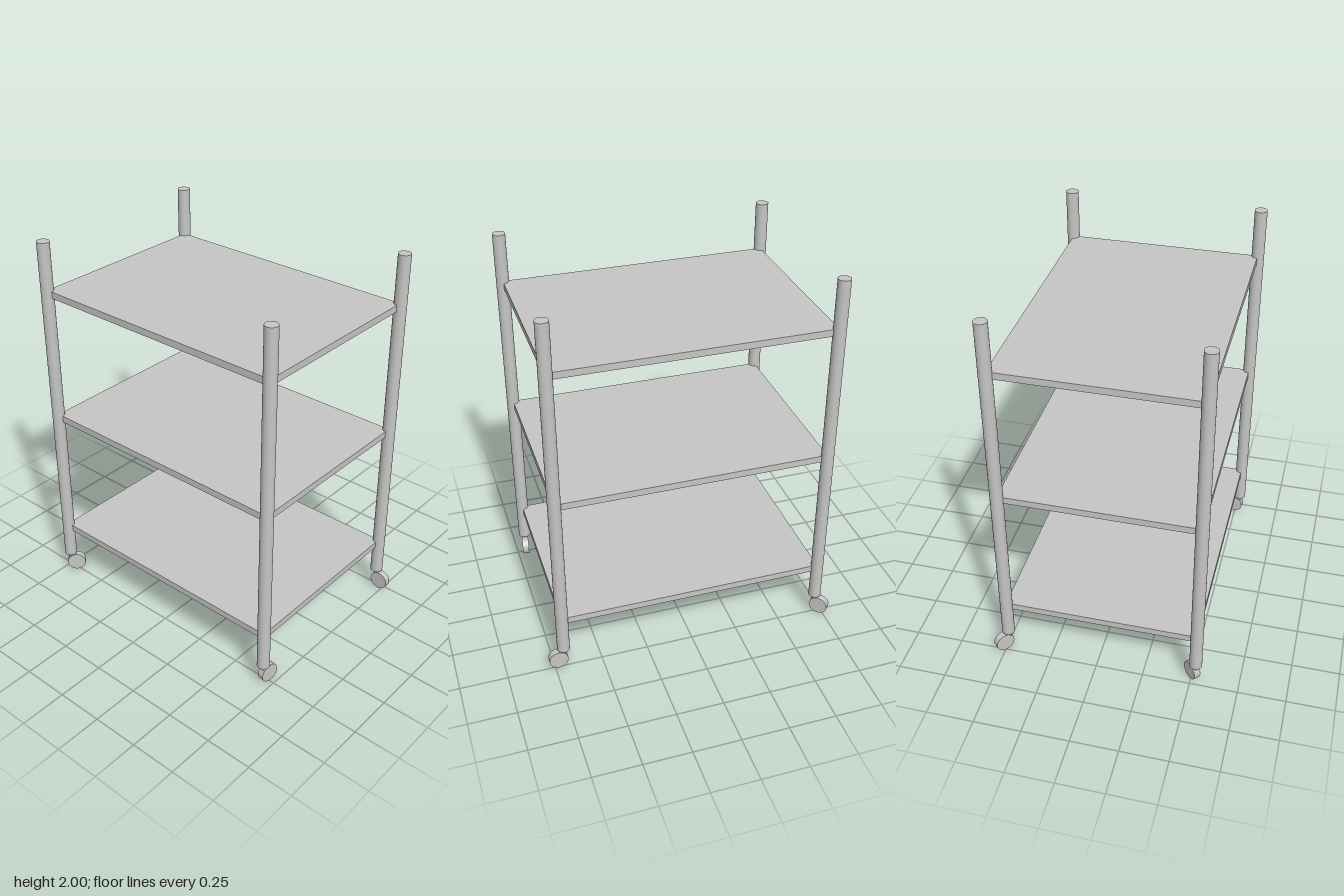
import * as THREE from 'three';

export function createModel() {
  const model = new THREE.Group();
  const grey = new THREE.MeshStandardMaterial({ color: 0xc6c6c6 });
  grey.name = 'light grey metal';

  const add = (parent, name, geometry, x, y, z) => {
    const mesh = new THREE.Mesh(geometry, grey);
    mesh.name = name;
    mesh.position.set(x, y, z);
    parent.add(mesh);
    return mesh;
  };

  const left = 0.489, right = -0.523, front = 0.7, back = -0.716;
  const midX = (left + right) / 2, midZ = (front + back) / 2;

  // Three flat shelves reaching to the post axes
  const shelfGeometry = new THREE.BoxGeometry(left - right, 0.036, front - back);
  for (const [name, y] of [['bottomShelf', 0.293], ['middleShelf', 1.008], ['topShelf', 1.723]]) {
    add(model, name, shelfGeometry, midX, y, midZ);
  }

  // Round corner posts, each on a caster swivelled to its own heading
  const postGeometry = new THREE.CylinderGeometry(0.033, 0.033, 1.89, 32);
  const stemGeometry = new THREE.CylinderGeometry(0.012, 0.012, 0.07, 16);
  const wheelGeometry = new THREE.CylinderGeometry(0.05, 0.05, 0.036, 32).rotateZ(Math.PI / 2);
  const corners = [
    ['frontLeft', left, front, 0, 1],
    ['frontRight', right, front, 0.99, 0.14],
    ['backLeft', left, back, 0.69, -0.72],
    ['backRight', right, back, 0.69, 0.72],
  ];
  for (const [name, x, z, headX, headZ] of corners) {
    add(model, name + 'Post', postGeometry, x, 1.055, z);
    const caster = new THREE.Group();
    caster.name = name + 'Caster';
    caster.position.set(x, 0, z);
    caster.rotation.y = Math.atan2(headX, headZ);
    add(caster, 'stem', stemGeometry, 0, 0.085, 0);
    add(caster, 'wheel', wheelGeometry, 0, 0.05, 0.03);
    model.add(caster);
  }

  return model;
}
